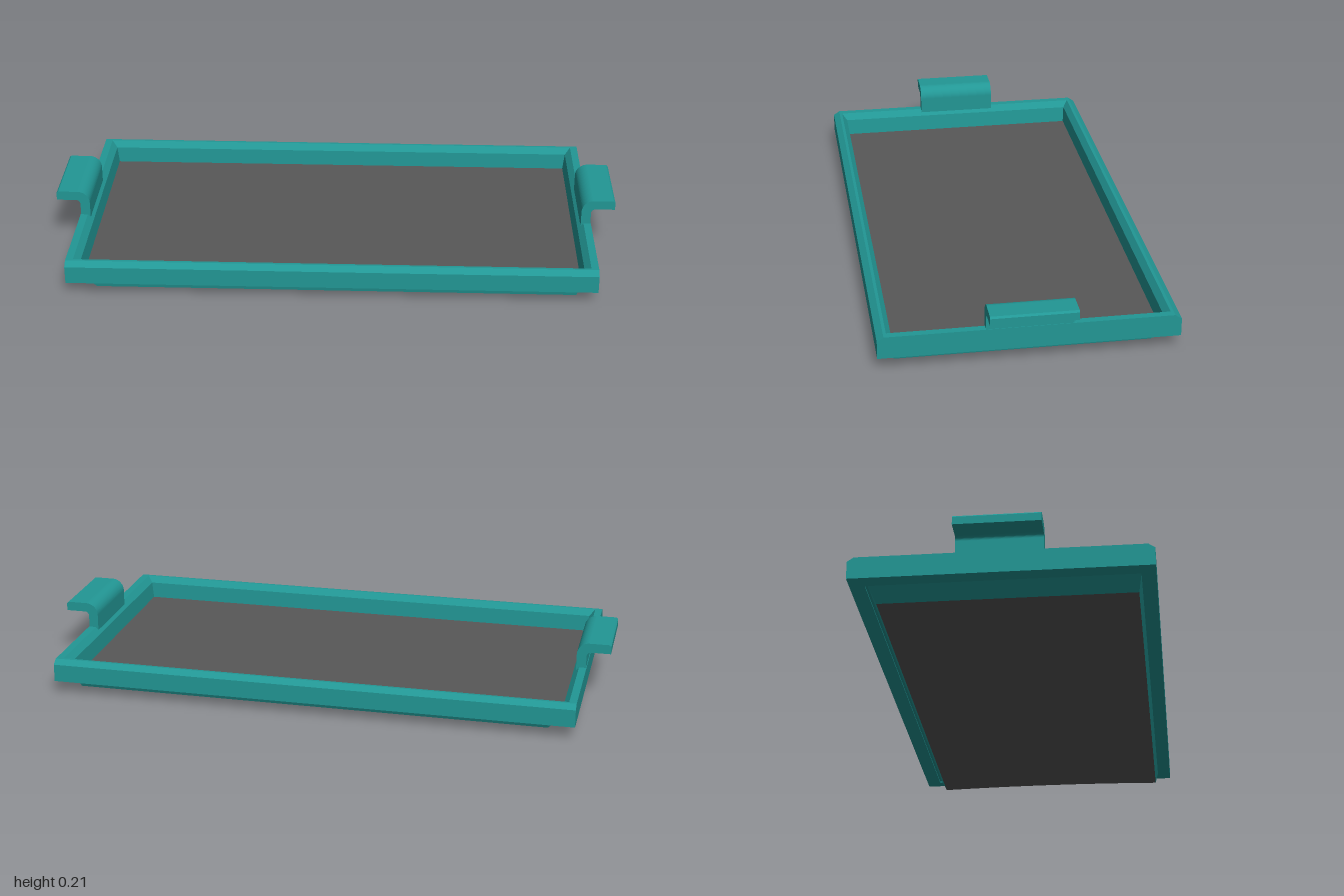
import * as THREE from 'three';

const teal = new THREE.MeshStandardMaterial({ color: 0x229795 });
teal.name = 'teal';
const grey = new THREE.MeshStandardMaterial({ color: 0x585858 });
grey.name = 'grey';

// Joins rectangular rings [x0, x1, z0, z1, y] with flat faces
function loftRings(rings) {
  const corners = ([x0, x1, z0, z1, y]) => [[x0, y, z1], [x1, y, z1], [x1, y, z0], [x0, y, z0]];
  const points = [];
  for (let r = 0; r + 1 < rings.length; r++) {
    const a = corners(rings[r]), b = corners(rings[r + 1]);
    for (let i = 0; i < 4; i++) {
      const j = (i + 1) % 4;
      points.push(...a[i], ...a[j], ...b[j], ...a[i], ...b[j], ...b[i]);
    }
  }
  const geometry = new THREE.BufferGeometry();
  geometry.setAttribute('position', new THREE.Float32BufferAttribute(points, 3));
  geometry.computeVertexNormals();
  return geometry;
}

const ring = (hx, hz, y) => [-hx, hx, -hz, hz, y];

export function createModel() {
  const group = new THREE.Group();
  const add = (name, geometry, material) => {
    const mesh = new THREE.Mesh(geometry, material);
    mesh.name = name;
    group.add(mesh);
    return mesh;
  };

  // Frame: tapered foot, overhanging rim bevelled on its long sides, inner wall
  add('frame', loftRings([
    [-0.82, 0.85, -0.415, 0.44, 0],
    [-0.862, 0.862, -0.437, 0.45, 0.045],
    ring(0.918, 0.498, 0.045),
    ring(0.918, 0.498, 0.107),
    ring(0.918, 0.476, 0.122),
    ring(0.892, 0.466, 0.122),
    ring(0.872, 0.448, 0.1),
    ring(0.865, 0.445, 0.04),
  ]), teal);

  // Tray floor
  const floor = new THREE.PlaneGeometry(1.732, 0.892);
  floor.rotateX(-Math.PI / 2).translate(0, 0.041, 0);
  add('trayFloor', floor, grey);

  // Underside, very slightly arched between its long edges
  const underside = new THREE.PlaneGeometry(1.67, 0.855, 1, 16);
  underside.rotateX(Math.PI / 2);
  const p = underside.attributes.position;
  for (let i = 0; i < p.count; i++) p.setY(i, 0.006 * (1 - (p.getZ(i) / 0.4275) ** 2));
  underside.translate(0.015, 0, 0.0125);
  underside.computeVertexNormals();
  add('underside', underside, grey);

  // Handles: upright tabs that curl outward into a flat grip
  const profile = new THREE.Shape();
  profile.moveTo(0.882, 0.1);
  profile.lineTo(0.916, 0.1);
  profile.lineTo(0.916, 0.165);
  profile.absarc(0.931, 0.165, 0.015, Math.PI, Math.PI / 2, true);
  profile.lineTo(1, 0.18);
  profile.lineTo(1, 0.207);
  profile.lineTo(0.994, 0.213);
  profile.lineTo(0.925, 0.213);
  profile.absarc(0.925, 0.17, 0.043, Math.PI / 2, Math.PI, false);
  profile.closePath();
  const handle = new THREE.ExtrudeGeometry(profile, { depth: 0.288, bevelEnabled: false, curveSegments: 8 });
  handle.translate(0, 0, -0.142);
  add('leftHandle', handle, teal);
  add('rightHandle', handle, teal).rotation.y = Math.PI;

  return group;
}
